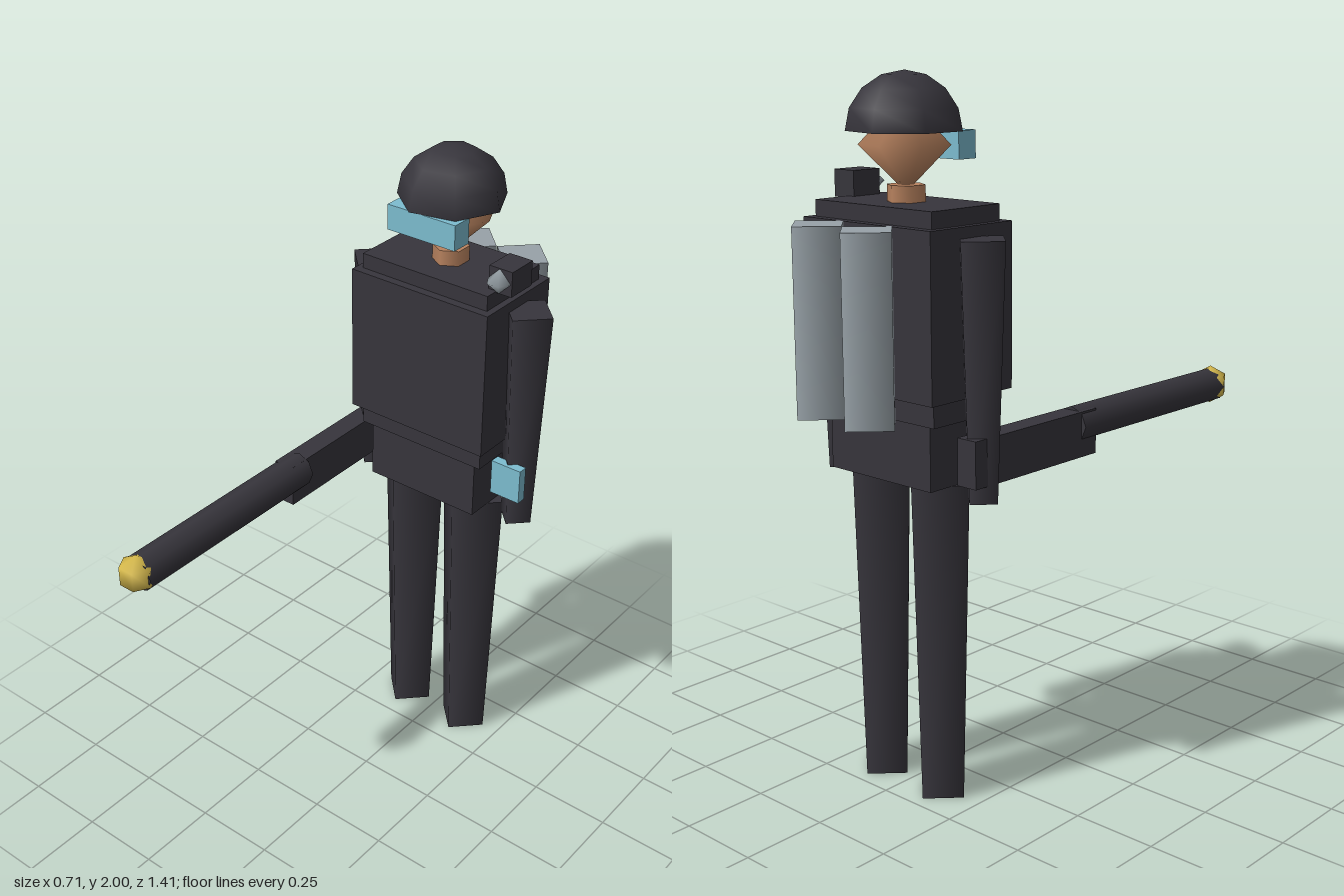
import * as THREE from 'three';

const mat = (name, color, side = THREE.FrontSide) => {
  const m = new THREE.MeshStandardMaterial({ color, side });
  m.name = name;
  return m;
};

export function createModel() {
  const group = new THREE.Group();
  const dark = mat('charcoal', 0x37353c);
  const shell = mat('charcoal', 0x37353c, THREE.DoubleSide);
  const skin = mat('skin', 0xb9835f);
  const glass = mat('paleCyan', 0x7dbdd0);
  const steel = mat('steelGrey', 0x98a2a8);
  const gold = mat('gold', 0xd8bb4c);
  const Z = -0.383; // depth of the body axis

  const add = (name, geometry, material, x, y, z) => {
    const mesh = new THREE.Mesh(geometry, material);
    mesh.name = name;
    mesh.position.set(x, y, z);
    group.add(mesh);
    return mesh;
  };
  // box given by its limits on each axis
  const box = (name, material, x0, x1, y0, y1, z0, z1) =>
    add(name, new THREE.BoxGeometry(x1 - x0, y1 - y0, z1 - z0), material,
      (x0 + x1) / 2, (y0 + y1) / 2, (z0 + z1) / 2);
  // upright tapered post
  const post = (name, material, rTop, rBottom, sides, x, y0, y1, z) =>
    add(name, new THREE.CylinderGeometry(rTop, rBottom, y1 - y0, sides), material, x, (y0 + y1) / 2, z);

  // Torso: inner body, armour vest and pelvis
  box('torso', dark, -0.217, 0.217, 1.1, 1.66, Z - 0.127, Z + 0.127);
  box('vest', dark, -0.237, 0.237, 1.165, 1.615, Z - 0.153, Z + 0.153);
  box('pelvis', dark, -0.19, 0.19, 0.92, 1.1, Z - 0.114, Z + 0.114);

  // Limbs and back tanks, mirrored
  for (const [side, s] of [['left', 1], ['right', -1]]) {
    post(side + 'Leg', dark, 0.11, 0.082, 4, s * 0.113, 0, 0.92, Z);
    post(side + 'Arm', dark, 0.081, 0.053, 4, s * 0.272, 0.89, 1.585, Z);
    post(side + 'Tank', steel, 0.09, 0.09, 4, s * 0.091, 1.108, 1.615, -0.615);
  }

  // Head
  post('neck', skin, 0.053, 0.053, 6, 0, 1.65, 1.705, Z);
  const head = add('head', new THREE.SphereGeometry(0.126, 7, 2), skin, 0, 1.81, Z);
  head.rotation.y = Math.PI;
  const helmet = add('helmet',
    new THREE.SphereGeometry(0.158, 7, 4, 0, Math.PI * 2, 0, Math.PI / 2), shell, 0, 1.845, Z);
  helmet.rotation.y = Math.PI;
  helmet.scale.y = 0.981;
  box('goggles', glass, -0.115, 0.115, 1.77, 1.845, -0.302, -0.237);

  // Shoulder lamp
  box('lampHousing', dark, 0.19, 0.266, 1.655, 1.73, -0.395, -0.298);
  add('lampLens', new THREE.SphereGeometry(0.037, 6, 2), steel, 0.226, 1.693, -0.295);

  // Wrist display
  box('wristDisplay', glass, 0.222, 0.322, 0.995, 1.105, -0.342, -0.312);

  // Hand-held launcher
  box('launcherBody', dark, -0.308, -0.243, 0.94, 1.07, -0.45, 0.047);
  const barrel = add('launcherBarrel', new THREE.CylinderGeometry(0.053, 0.053, 0.68, 8), dark,
    -0.27, 1.028, 0.323);
  barrel.rotation.x = Math.PI / 2;
  add('muzzle', new THREE.SphereGeometry(0.058, 6, 3), gold, -0.272, 1.03, 0.658);

  return group;
}
